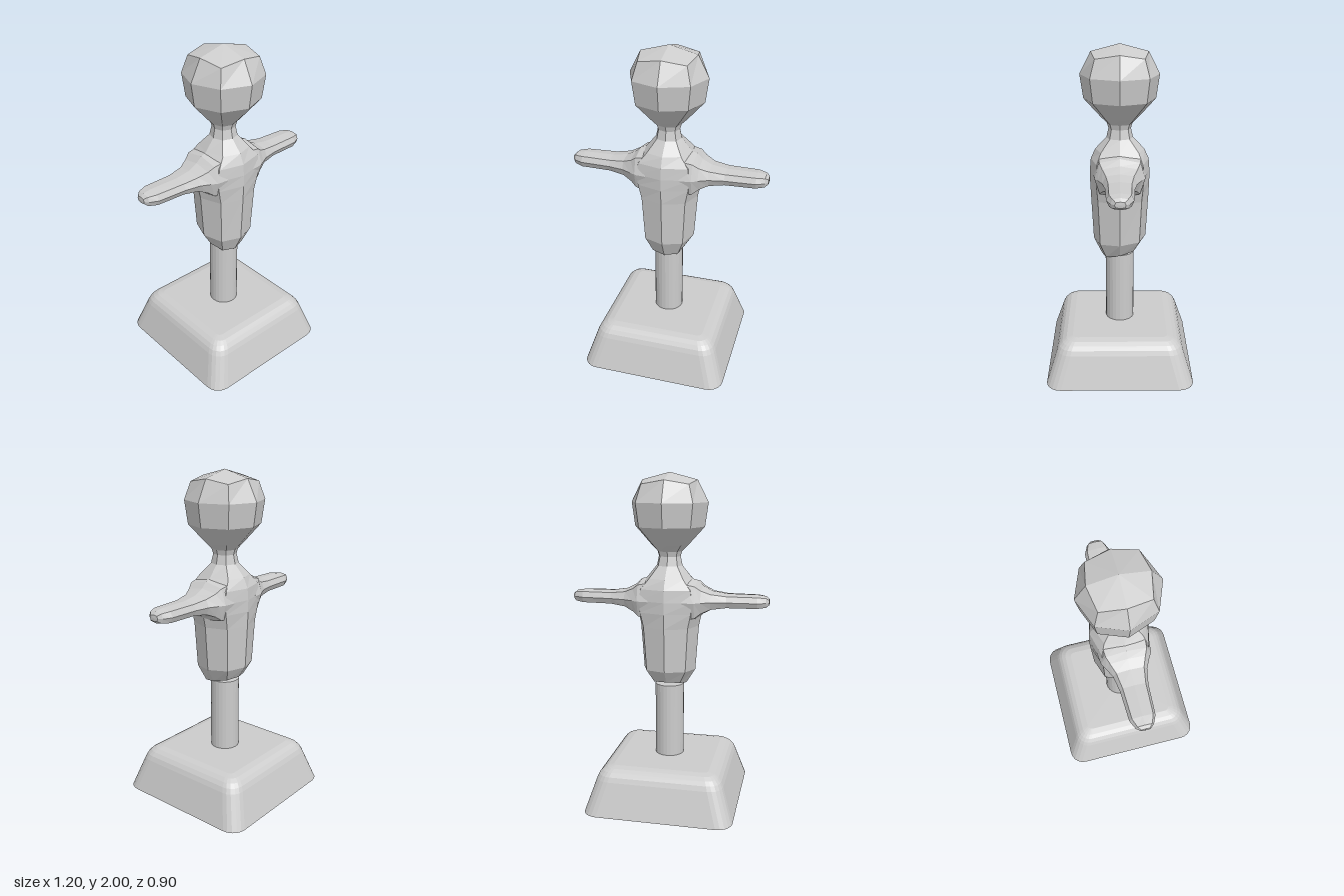
import * as THREE from 'three';

const material = new THREE.MeshStandardMaterial({ color: 0xcccccc, flatShading: true });

// Skins a stack of closed rings (bottom to top, counterclockwise from above) and caps both ends.
function loft(rings, capBottom = 0, capTop = 0) {
  const n = rings[0].length;
  const points = rings.flat();
  const index = [];
  for (let i = 0; i < rings.length - 1; i++) {
    for (let j = 0; j < n; j++) {
      const a = i * n + j, b = i * n + (j + 1) % n;
      index.push(a, b, b + n, a, b + n, a + n);
    }
  }
  const centre = (ring, lift) => ring
    .reduce((sum, p) => sum.add(p), new THREE.Vector3())
    .divideScalar(n).add(new THREE.Vector3(0, lift, 0));
  const last = (rings.length - 1) * n;
  const low = points.length, high = low + 1;
  points.push(centre(rings[0], capBottom), centre(rings[rings.length - 1], capTop));
  for (let j = 0; j < n; j++) {
    const k = (j + 1) % n;
    index.push(low, k, j, high, last + j, last + k);
  }
  const geometry = new THREE.BufferGeometry().setFromPoints(points);
  geometry.setIndex(index);
  geometry.computeVertexNormals();
  return geometry;
}

// Eight-sided ring; corner sets how square it is, drop lowers the corners, tilt lowers the front.
function octagon(y, rx, rz, corner = 0.74, drop = 0, tilt = 0) {
  return Array.from({ length: 8 }, (_, i) => {
    const a = i * Math.PI / 4;
    const odd = i % 2 === 1;
    const x = odd ? Math.sign(Math.cos(a)) * corner : Math.round(Math.cos(a));
    const z = odd ? -Math.sign(Math.sin(a)) * corner : -Math.round(Math.sin(a));
    return new THREE.Vector3(x * rx, y - (odd ? drop : 0) - z * tilt, z * rz);
  });
}

// Square ring with rounded corners.
function roundedSquare(y, half, radius, steps = 5) {
  const ring = [];
  for (let q = 0; q < 4; q++) {
    const mid = (q + 0.5) * Math.PI / 2;
    const cx = Math.sign(Math.cos(mid)) * (half - radius);
    const cz = -Math.sign(Math.sin(mid)) * (half - radius);
    for (let s = 0; s <= steps; s++) {
      const a = (q + s / steps) * Math.PI / 2;
      ring.push(new THREE.Vector3(cx + Math.cos(a) * radius, y, cz - Math.sin(a) * radius));
    }
  }
  return ring;
}

export function createModel() {
  const model = new THREE.Group();
  const add = (name, geometry) => {
    const mesh = new THREE.Mesh(geometry, material);
    mesh.name = name;
    model.add(mesh);
    return mesh;
  };

  // Tapered base with a softened top edge
  add('base', loft([
    [0, 0.45, 0.09], [0.2, 0.385, 0.085], [0.228, 0.372, 0.08],
    [0.25, 0.353, 0.07], [0.266, 0.328, 0.055], [0.275, 0.29, 0.03],
  ].map(r => roundedSquare(...r))));

  // Post
  const post = add('post', new THREE.CylinderGeometry(0.088, 0.088, 0.46, 24));
  post.position.y = 0.5;

  // Torso, from the tilted underside up to the neck
  add('torso', loft([
    [0.735, 0.105, 0.11, 0.76, 0, 0.025],
    [0.825, 0.16, 0.16, 0.74, 0, 0.01],
    [1.1, 0.18, 0.174],
    [1.19, 0.2, 0.178, 0.76],
    [1.26, 0.205, 0.178, 0.78],
    [1.33, 0.19, 0.172, 0.78],
    [1.39, 0.135, 0.145, 0.76],
    [1.46, 0.078, 0.078],
    [1.515, 0.066, 0.066],
  ].map(r => octagon(...r))));

  // Head
  add('head', loft([
    [1.515, 0.066, 0.066],
    [1.545, 0.075, 0.075],
    [1.585, 0.115, 0.115, 0.72],
    [1.69, 0.21, 0.21, 0.72],
    [1.83, 0.23, 0.23, 0.72],
    [1.957, 0.165, 0.165, 0.84, 0.024],
  ].map(r => octagon(...r)), 0, 0.055));

  // Arms: distance along the arm, half height, half depth
  const armRings = [
    [0.1, 0.135, 0.155], [0.17, 0.118, 0.147], [0.205, 0.085, 0.127],
    [0.26, 0.056, 0.1], [0.35, 0.042, 0.083], [0.53, 0.041, 0.075],
    [0.58, 0.034, 0.052], [0.598, 0.018, 0.03],
  ];
  for (const side of [1, -1]) {
    const arm = add(side > 0 ? 'leftArm' : 'rightArm',
      loft(armRings.map(([d, h, w]) => octagon(d, h, w, 0.8)), 0, 0.002));
    arm.rotation.z = -side * Math.PI / 2;
    arm.position.y = 1.258;
  }

  return model;
}
